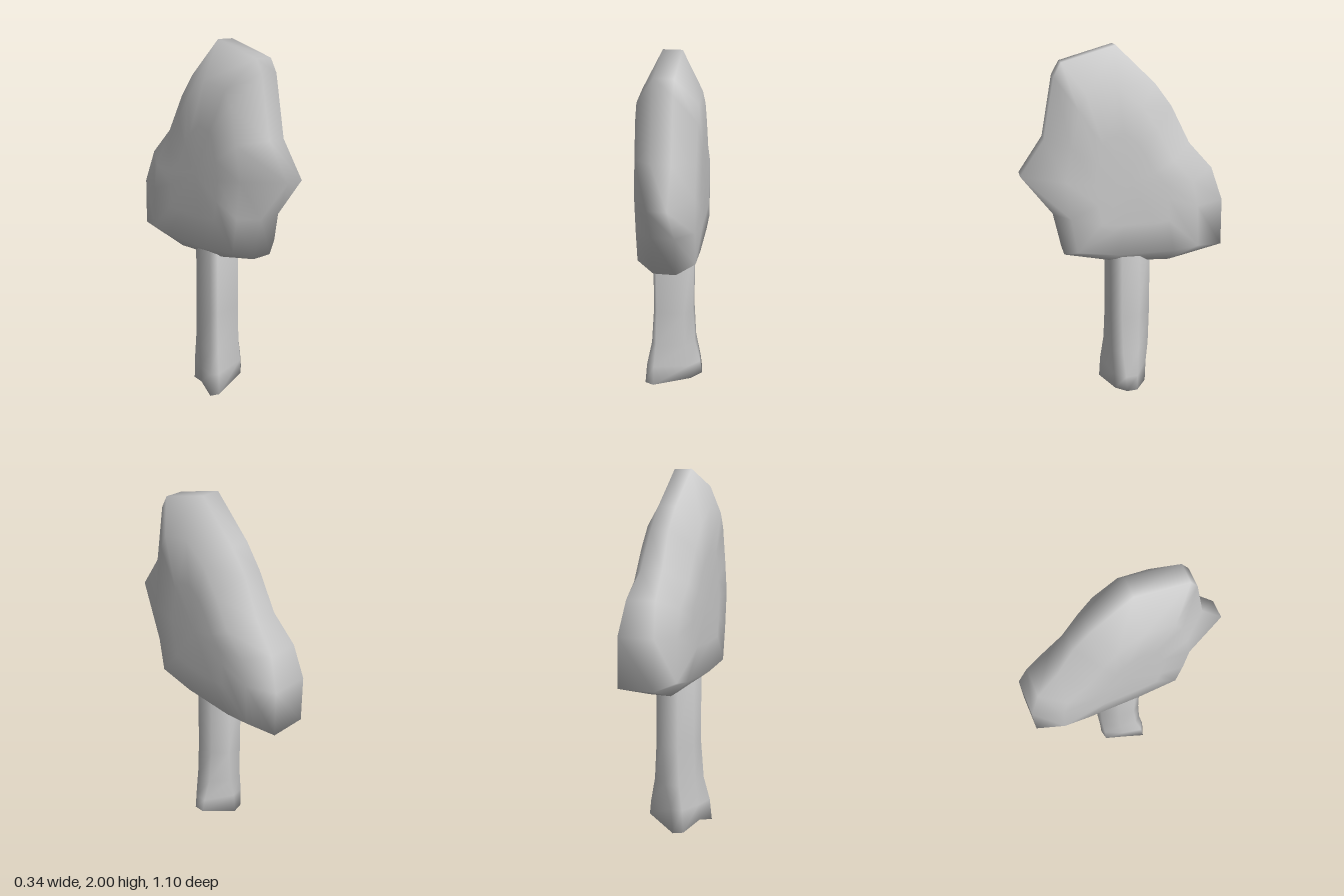
import * as THREE from 'three';

// Smooth closed surface through rings of equal point count; each end closes on its centre.
// Points run counter-clockwise as seen from the last ring's end.
function loft(rings, name) {
  const n = rings[0].length, pos = [], idx = [];
  rings.forEach(r => r.forEach(p => pos.push(...p)));
  for (let i = 0; i < rings.length - 1; i++) {
    for (let j = 0; j < n; j++) {
      const k = (j + 1) % n;
      const a = i * n + j, b = i * n + k, c = b + n, d = a + n;
      idx.push(a, b, c, a, c, d);
    }
  }
  [0, rings.length - 1].forEach(i => {
    const centre = pos.length / 3;
    for (let c = 0; c < 3; c++) pos.push(rings[i].reduce((s, p) => s + p[c], 0) / n);
    for (let j = 0; j < n; j++) {
      const a = i * n + j, b = i * n + (j + 1) % n;
      idx.push(...(i === 0 ? [b, a, centre] : [a, b, centre]));
    }
  });
  const geo = new THREE.BufferGeometry();
  geo.setAttribute('position', new THREE.Float32BufferAttribute(pos, 3));
  geo.setIndex(idx);
  geo.computeVertexNormals();
  const mesh = new THREE.Mesh(geo, new THREE.MeshStandardMaterial({ color: 0xcccccc }));
  mesh.name = name;
  return mesh;
}

// Slab-like crown: rim (z, y, half width) and the shoulder (z, y) where the broad sides begin
function createCrown() {
  const outline = [
    [0.04, 2.0, 0.05, 0.05, 1.80],
    [0.32, 1.92, 0.05, 0.21, 1.77],
    [0.36, 1.85, 0.05, 0.25, 1.69],
    [0.42, 1.53, 0.05, 0.29, 1.50],
    [0.55, 1.34, 0.05, 0.32, 1.32],
    [0.38, 1.12, 0.06, 0.30, 1.12],
    [0.33, 0.89, 0.06, 0.27, 0.93],
    [0.05, 0.83, 0.06, 0.05, 0.90],
    [-0.26, 0.815, 0.06, -0.26, 0.90],
    [-0.55, 0.90, 0.10, -0.40, 0.92],
    [-0.545, 1.16, 0.10, -0.39, 1.15],
    [-0.485, 1.34, 0.08, -0.36, 1.29],
    [-0.36, 1.48, 0.06, -0.25, 1.41],
    [-0.26, 1.68, 0.05, -0.16, 1.58],
    [-0.17, 1.80, 0.05, -0.08, 1.70],
  ];
  const rim = s => outline.map(([z, y, w]) => [s * w, y, z]);
  const shoulder = s => outline.map(p => [s * 0.155, p[4], p[3]]);
  const cheek = s => outline.map(p => [s * 0.168, 1.28 + (p[4] - 1.28) * 0.55, -0.02 + (p[3] + 0.02) * 0.55]);
  return loft([cheek(-1), shoulder(-1), rim(-1), rim(1), shoulder(1), cheek(1)], 'crown');
}

// Trunk: faceted column flaring into three uneven root feet
function createTrunk() {
  const top = [[0.115, 0.02], [0.07, 0.075], [-0.09, 0.08], [-0.112, 0.04],
    [-0.11, -0.06], [-0.05, -0.15], [0.04, -0.155], [0.11, -0.08]];
  const foot = [[0.17, 0.055, 0], [0.11, 0.05, 0.06], [-0.11, 0.015, 0.115], [-0.16, 0.015, 0.095],
    [-0.13, 0.05, -0.02], [-0.08, 0.01, -0.14], [-0.02, 0, -0.15], [0.165, 0.055, -0.06]];
  // Levels: height and share of the flare
  const rings = [[1.0, 0], [0.5, 0], [0.28, 0.25], [0.14, 0.8]].map(([y, f]) =>
    top.map(([x, z], j) => [x + (foot[j][0] - x) * f, y, z + (foot[j][2] - z) * f]));
  rings.push(foot);
  // Hollow between the feet
  rings.push(foot.map(([x, , z]) => [x * 0.5, 0.06, -0.02 + (z + 0.02) * 0.5]));
  return loft(rings, 'trunk');
}

export function createModel() {
  const group = new THREE.Group();
  group.name = 'tree';
  group.add(createCrown(), createTrunk());
  return group;
}
